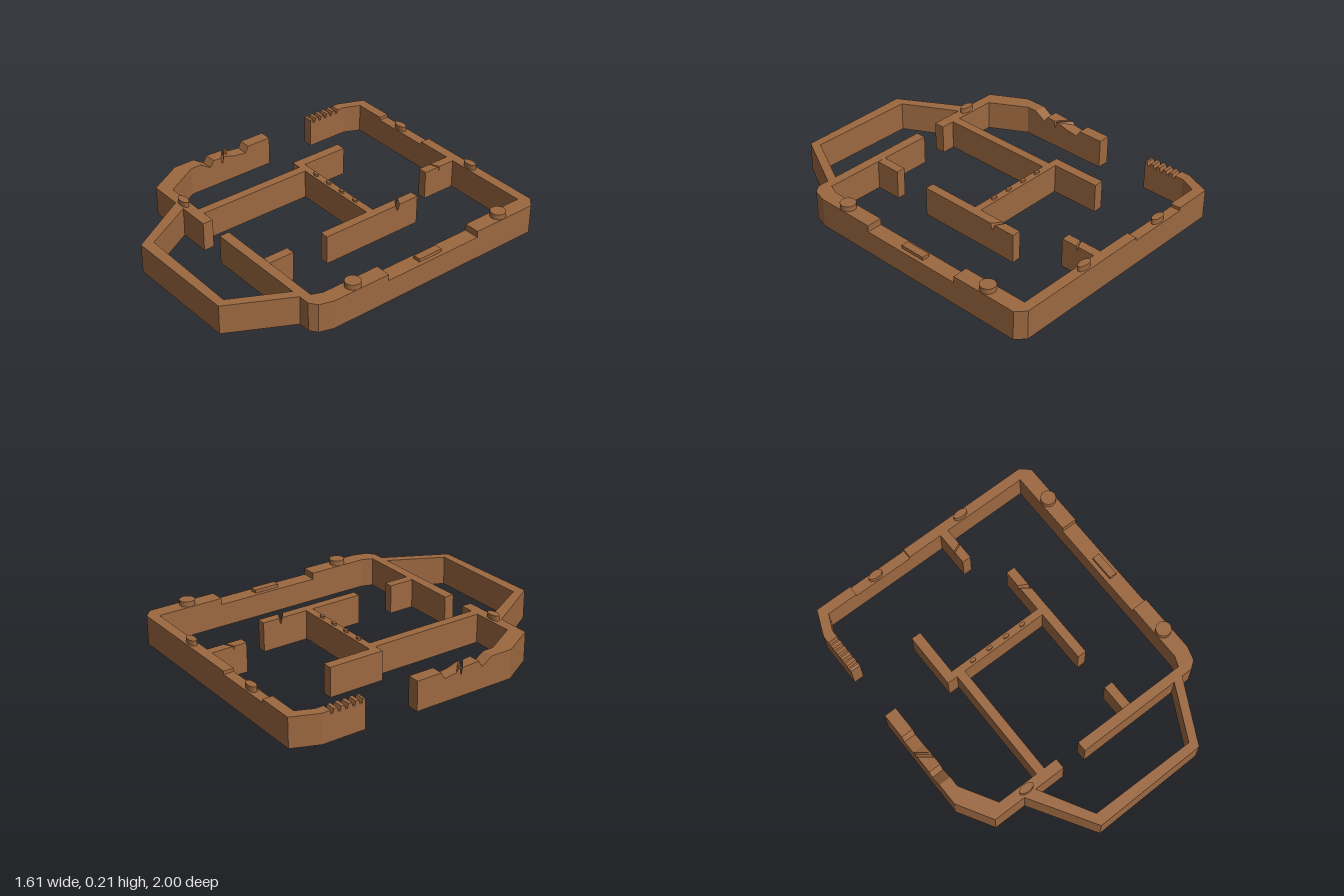
import * as THREE from 'three';

const H = 0.18;

export function createModel() {
  const model = new THREE.Group();
  const clay = new THREE.MeshStandardMaterial({ color: 0x9c6840 });
  clay.name = 'clayBrown';

  const add = (name, geometry) => {
    const mesh = new THREE.Mesh(geometry, clay);
    mesh.name = name;
    model.add(mesh);
    return mesh;
  };

  // Upright prism from a floor-plan outline of [x, z] points
  const prism = (name, plan, height = H) => {
    const shape = new THREE.Shape(plan.map(([x, z]) => new THREE.Vector2(x, -z)));
    const g = new THREE.ExtrudeGeometry(shape, { depth: height, bevelEnabled: false });
    return add(name, g.rotateX(-Math.PI / 2));
  };

  // Straight block between two plan corners
  const block = (name, x0, x1, z0, z1, top = H, bottom = 0) => {
    const g = new THREE.BoxGeometry(x1 - x0, top - bottom, z1 - z0);
    return add(name, g.translate((x0 + x1) / 2, (top + bottom) / 2, (z0 + z1) / 2));
  };

  // Wall along z with an uneven top; each row is [z at x0, z at x1, top]
  const wornWall = (name, x0, x1, rows) => {
    const pos = [], idx = [];
    rows.forEach(([za, zb, y], i) => {
      pos.push(x0, 0, za, x0, y, za, x1, y, zb, x1, 0, zb);
      if (i === 0) return;
      for (let j = 0; j < 4; j++) {
        const k = (j + 1) % 4, p = (i - 1) * 4, q = i * 4;
        idx.push(p + j, q + j, q + k, p + j, q + k, p + k);
      }
    });
    const e = (rows.length - 1) * 4;
    idx.push(0, 1, 2, 0, 2, 3, e, e + 2, e + 1, e, e + 3, e + 2);
    const g = new THREE.BufferGeometry();
    g.setAttribute('position', new THREE.Float32BufferAttribute(pos, 3));
    g.setIndex(idx);
    const flat = g.toNonIndexed();
    flat.computeVertexNormals();
    return add(name, flat);
  };

  // Round or oval stud standing on a wall
  const stud = (name, x, z, rx, rz, bottom, top) => {
    const g = new THREE.CylinderGeometry(1, 1, top - bottom, 24);
    add(name, g.scale(rx, 1, rz).translate(x, (top + bottom) / 2, z));
  };

  // Back wall with its lowered stretch
  prism('backLeftCorner', [[-0.5, -1], [-0.735, -1], [-0.8, -0.84], [-0.8, -0.8],
    [-0.738, -0.8], [-0.738, -0.84], [-0.695, -0.938], [-0.5, -0.938]]);
  block('backWallLow', -0.5, -0.115, -1, -0.938, 0.16);
  prism('backRightCorner', [[-0.115, -1], [0.745, -1], [0.8, -0.95], [0.8, -0.53],
    [0.705, -0.53], [0.705, -0.938], [-0.115, -0.938]]);

  // Serrated end of the left wall
  const teeth = [[-0.8, -0.8, H]];
  for (let i = 0; i < 5; i++) {
    const z = -0.79 + i * 0.045;
    teeth.push([z, z, 0.183], [z + 0.006, z + 0.006, 0.158],
      [z + 0.018, z + 0.018, 0.158], [z + 0.024, z + 0.024, 0.183]);
  }
  teeth.push([-0.57, -0.57, H]);
  wornWall('serratedLeftWall', -0.8, -0.738, teeth);

  // Right wall: lowered stretch with a raised slab, then the front corner
  block('rightWallLow', 0.705, 0.8, -0.53, 0.12, 0.14);
  block('rightWallSlab', 0.73, 0.777, -0.28, -0.12, 0.16, 0.14);
  prism('frontRightWall', [[0.705, 0.12], [0.8, 0.12], [0.8, 0.49], [0.775, 0.575],
    [0.73, 0.608], [-0.05, 0.612], [-0.05, 0.55], [0.68, 0.552], [0.705, 0.49]]);

  // Worn left wall with chips and a slanted crack
  wornWall('wornLeftWall', -0.805, -0.73, [
    [-0.24, -0.24, H], [-0.08, -0.08, H], [-0.06, -0.06, 0.14], [0.02, 0.02, 0.15],
    [0.035, 0.09, 0.172], [0.045, 0.102, 0.172], [0.053, 0.112, 0.125],
    [0.062, 0.122, 0.17], [0.175, 0.175, 0.175], [0.2, 0.2, 0.135], [0.27, 0.27, H],
    [0.3, 0.3, H]]);
  prism('frontLeftWall', [[-0.805, 0.3], [-0.805, 0.405], [-0.683, 0.615],
    [-0.205, 0.615], [-0.205, 0.55], [-0.605, 0.55], [-0.73, 0.335], [-0.73, 0.3]]);

  // Bay projecting from the front
  prism('frontBay', [[-0.483, 0.61], [-0.247, 0.998], [0.465, 0.985], [0.662, 0.605],
    [0.603, 0.605], [0.435, 0.932], [-0.225, 0.928], [-0.405, 0.61]]);

  // Inner partitions
  block('innerLeftStub', -0.41, -0.35, -0.52, -0.175);
  block('innerCrossWall', -0.35, 0.27, -0.22, -0.175);
  block('innerLongWall', -0.345, -0.29, -0.175, 0.55);
  block('innerFrontStub', 0.27, 0.325, 0.39, 0.55);
  wornWall('crackedInnerWall', 0.27, 0.325, [
    [-0.51, -0.51, H], [-0.405, -0.375, H], [-0.395, -0.36, 0.14],
    [-0.385, -0.345, H], [0.155, 0.155, H]]);
  wornWall('crackedBackStub', 0.11, 0.165, [
    [-0.938, -0.938, H], [-0.806, -0.832, H], [-0.802, -0.826, 0.155],
    [-0.798, -0.82, H], [-0.72, -0.72, H]]);

  // Studs along the wall tops
  stud('backLowStud', -0.34, -0.968, 0.046, 0.023, 0.16, 0.192);
  stud('backStud', 0.28, -0.968, 0.046, 0.023, H, 0.212);
  stud('frontStud', -0.443, 0.585, 0.046, 0.023, H, 0.212);
  for (const z of [-0.73, 0.33]) stud('rightStud', 0.753, z, 0.046, 0.046, H, 0.212);
  for (const x of [-0.215, -0.097, 0.022, 0.14]) {
    stud('innerStud', x, -0.197, 0.019, 0.01, H, 0.194);
  }

  return model;
}
